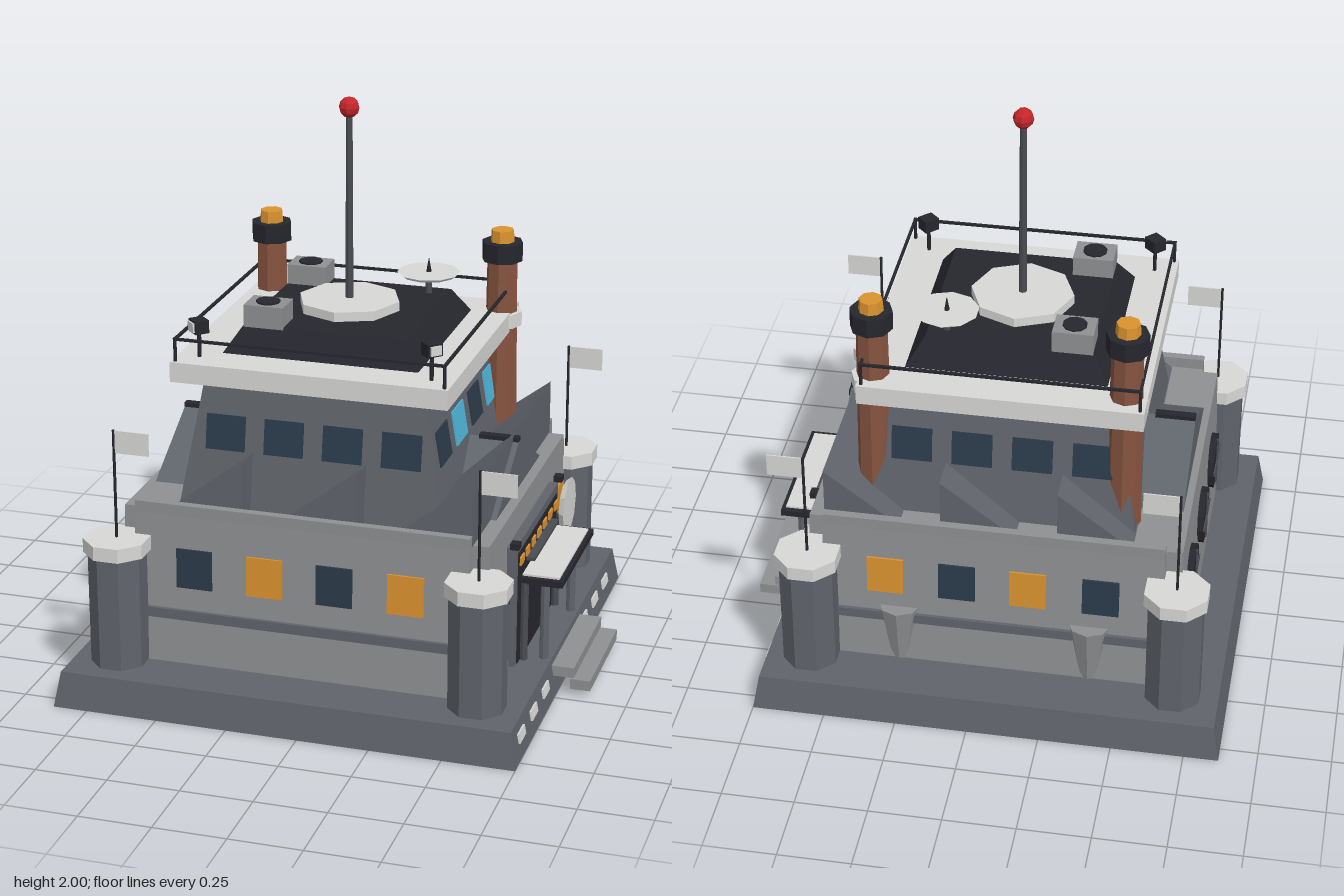
import * as THREE from 'three';

const mat = (name, color) => {
  const m = new THREE.MeshStandardMaterial({ color, flatShading: true, side: THREE.DoubleSide });
  m.name = name;
  return m;
};

export function createModel() {
  const light = mat('paleTrim', 0xd8d8d6), gray = mat('wallGray', 0x8f9092), slate = mat('slate', 0x60646b);
  const dark = mat('charcoal', 0x26262e), metal = mat('metal', 0x494c52), brick = mat('brick', 0x87543f);
  const amber = mat('amber', 0xda932f), glass = mat('darkGlass', 0x2b3b4a), cyan = mat('litGlass', 0x4fb6d8);
  const red = mat('red', 0xc4262c);
  const root = new THREE.Group();
  const CX = -0.06; // centre line of the building

  const add = (name, geo, m, x, y, z, parent = root) => {
    const mesh = new THREE.Mesh(geo, m);
    mesh.name = name;
    mesh.position.set(x, y, z);
    parent.add(mesh);
    return mesh;
  };
  // box given by its centre and size
  const box = (name, m, x, y, z, w, h, d, parent) => add(name, new THREE.BoxGeometry(w, h, d), m, x, y, z, parent);
  // upright cylinder from y0 to y1
  const cyl = (name, m, x, z, y0, y1, rBottom, rTop = rBottom, n = 8, parent = root) =>
    add(name, new THREE.CylinderGeometry(rTop, rBottom, y1 - y0, n), m, x, (y0 + y1) / 2, z, parent);
  // block whose half sizes change from bottom to top
  const frustum = (name, m, x, y0, y1, bx, bz, tx, tz) => {
    const g = new THREE.BoxGeometry(2, y1 - y0, 2), p = g.attributes.position;
    for (let i = 0; i < p.count; i++) {
      const top = p.getY(i) > 0;
      p.setX(i, p.getX(i) * (top ? tx : bx));
      p.setZ(i, p.getZ(i) * (top ? tz : bz));
    }
    g.computeVertexNormals();
    return add(name, g, m, x, (y0 + y1) / 2, 0);
  };
  // extruded outline, centred along its depth
  const prism = (name, m, pts, depth) => {
    const g = new THREE.ExtrudeGeometry(new THREE.Shape(pts.map(p => new THREE.Vector2(...p))),
      { depth, bevelEnabled: false });
    g.translate(0, 0, -depth / 2);
    return add(name, g, m, 0, 0, 0);
  };

  // base and main walls
  frustum('base', slate, CX, 0, 0.125, 0.81, 0.81, 0.788, 0.788);
  frustum('sideHall', gray, -0.055, 0.125, 0.66, 0.655, 0.55, 0.64, 0.54);
  frustum('mainHall', gray, -0.055, 0.125, 0.66, 0.6, 0.605, 0.585, 0.585);
  for (const s of [1, -1]) {
    box('parapet', gray, -0.055, 0.67, s * 0.57, 1.17, 0.06, 0.03);
    box('wallBand', slate, -0.055, 0.306, s * 0.603, 1.1, 0.035, 0.015);
    [-0.428, -0.178, 0.067, 0.315].forEach((x, i) => {
      const w = box('hallWindow', i % 2 ? amber : glass, x, 0.475, s * 0.595, 0.126, 0.14, 0.009);
      w.rotation.x = -s * 0.037;
    });
  }

  // saw-tooth roofs and the cross gable
  for (const x of [-0.54, -0.14, 0.26])
    prism('sawtoothRoof', slate, [[x, 0.65], [x + 0.27, 0.65], [x + 0.27, 0.855]], 1.1);
  const gable = prism('gableRoof', slate, [[-0.33, 0.65], [0.33, 0.65], [0, 0.835]], 1.22);
  gable.rotation.y = Math.PI / 2;
  gable.position.x = CX;
  for (const s of [1, -1]) {
    box('ridgeBar', dark, CX + s * 0.54, 0.838, 0, 0.14, 0.015, 0.03);
  }

  // corner towers with flags
  for (const x of [-0.69, 0.575]) for (const z of [-0.635, 0.635]) {
    const t = new THREE.Group();
    t.name = 'cornerTower';
    t.position.set(x, 0, z);
    root.add(t);
    cyl('towerShaft', slate, 0, 0, 0.12, 0.535, 0.1, 0.1, 8, t).rotation.y = Math.PI / 8;
    cyl('towerCap', light, 0, 0, 0.53, 0.58, 0.115, 0.115, 8, t).rotation.y = Math.PI / 8;
    cyl('flagPole', dark, 0, 0, 0.57, 0.967, 0.005, 0.005, 6, t);
    box('flag', light, 0.064, 0.925, 0, 0.12, 0.08, 0.005, t);
  }

  // upper cabin with tilted windows on each side
  frustum('cabin', slate, CX, 0.64, 1.105, 0.467, 0.467, 0.389, 0.389);
  for (let k = 0; k < 4; k++) {
    const side = new THREE.Group();
    side.name = 'cabinWindows';
    side.position.set(CX, 0.915, 0);
    side.rotation.y = k * Math.PI / 2;
    root.add(side);
    for (let i = 0; i < 4; i++) {
      const w = box('cabinWindow', k % 2 && i % 2 ? cyan : glass, -0.308 + i * 0.206, 0, 0.422, 0.138, 0.122, 0.009, side);
      w.rotation.x = -0.166;
    }
  }
  box('roofSlab', light, CX, 1.135, 0, 0.965, 0.07, 0.965);
  frustum('darkRoof', dark, CX, 1.17, 1.26, 0.343, 0.343, 0.285, 0.285);

  // roof railing
  for (const s of [1, -1]) {
    box('railing', dark, CX, 1.248, s * 0.467, 0.945, 0.009, 0.009);
    box('railing', dark, CX + s * 0.467, 1.248, 0, 0.009, 0.009, 0.945);
    for (const t of [1, -1]) cyl('railingPost', dark, CX + s * 0.467, t * 0.467, 1.165, 1.25, 0.006, 0.006, 6);
    // floodlights at the front corners
    const x = CX + s * 0.405;
    cyl('floodlightPost', dark, x, 0.4, 1.16, 1.27, 0.007, 0.007, 6);
    const lamp = new THREE.Group();
    lamp.name = 'floodlight';
    lamp.position.set(x, 1.28, 0.4);
    lamp.rotation.y = s * Math.PI / 4;
    root.add(lamp);
    box('lampBody', dark, 0, 0, 0, 0.055, 0.045, 0.05, lamp);
    box('lampLens', light, 0, 0, 0.028, 0.04, 0.032, 0.008, lamp);
    // roof fans
    box('fanBox', gray, -0.275, 1.28, s * 0.235, 0.14, 0.1, 0.11);
    cyl('fan', dark, -0.275, s * 0.235, 1.325, 1.336, 0.042, 0.042, 10);
  }

  // mast, beacon and dish
  cyl('mastPlate', light, CX, 0, 1.255, 1.293, 0.178);
  cyl('mast', metal, CX, 0, 1.29, 1.945, 0.014, 0.012);
  add('beacon', new THREE.SphereGeometry(0.036, 8, 6), red, CX, 1.964, 0);
  cyl('dishPost', metal, 0.16, -0.225, 1.25, 1.33, 0.012);
  cyl('dish', light, 0.16, -0.225, 1.325, 1.337, 0.095, 0.11, 10);
  cyl('dishSpike', dark, 0.16, -0.225, 1.335, 1.385, 0.01, 0.001, 6);

  // chimneys
  for (const x of [-0.472, 0.382]) {
    cyl('chimney', brick, x, -0.39, 0.65, 1.36, 0.062, 0.054);
    cyl('chimneyCollar', light, x, -0.39, 1.115, 1.165, 0.074);
    cyl('chimneyCap', dark, x, -0.39, 1.352, 1.42, 0.073);
    cyl('chimneyGlow', amber, x, -0.39, 1.41, 1.462, 0.044, 0.04);
  }

  // entrance portal, lights, canopy and steps
  box('portalFrame', slate, 0.6, 0.345, 0, 0.04, 0.44, 0.62);
  box('portalRecess', dark, 0.62, 0.33, 0, 0.008, 0.41, 0.56);
  box('door', glass, 0.624, 0.265, 0, 0.004, 0.28, 0.33).material = dark;
  for (let i = -3; i <= 3; i++) box('portalLight', amber, 0.626, 0.502, i * 0.083, 0.009, 0.03, 0.045);
  box('portalBar', metal, 0.64, 0.475, 0, 0.03, 0.012, 0.36);
  box('canopy', dark, 0.69, 0.42, 0, 0.155, 0.022, 0.49);
  box('canopyTop', light, 0.685, 0.434, 0, 0.135, 0.008, 0.45);
  for (const s of [1, -1]) {
    cyl('canopyColumn', slate, 0.7, s * 0.205, 0.12, 0.412, 0.016);
    cyl('portalColumn', metal, 0.635, s * 0.235, 0.12, 0.412, 0.014);
    box('portalLamp', dark, 0.62, 0.58, s * 0.318, 0.03, 0.022, 0.035);
    box('sideWindow', amber, 0.592, 0.45, s * 0.44, 0.009, 0.105, 0.14);
    box('sideSill', dark, 0.598, 0.388, s * 0.44, 0.03, 0.014, 0.16);
  }
  const disc = add('wallDish', new THREE.CylinderGeometry(0.105, 0.09, 0.02, 10), light, 0.622, 0.42, -0.455);
  disc.rotation.z = -Math.PI / 2;
  box('upperStep', gray, 0.765, 0.087, 0, 0.09, 0.037, 0.44);
  box('lowerStep', gray, 0.833, 0.045, 0, 0.07, 0.037, 0.44);
  for (const z of [0.685, 0.514, 0.343, -0.26, -0.43, -0.6])
    box('baseLight', light, 0.738, 0.073, z, 0.012, 0.034, 0.08).rotation.z = 0.17;

  // round vents on the side wall
  for (const z of [-0.33, 0, 0.33]) {
    const vent = new THREE.Group();
    vent.name = 'roundVent';
    vent.position.set(-0.71, 0.42, z);
    root.add(vent);
    add('ventDisc', new THREE.CylinderGeometry(0.1, 0.1, 0.025, 12), dark, 0, 0, 0, vent).rotation.z = Math.PI / 2;
    box('ventBar', metal, -0.014, 0, 0, 0.008, 0.19, 0.012, vent);
    box('ventBar', metal, -0.014, 0, 0, 0.008, 0.012, 0.19, vent);
  }

  // tapered buttresses on the back wall
  for (const x of [-0.39, 0.27]) cyl('backButtress', light, x, -0.575, 0.12, 0.345, 0.035, 0.075).material = gray;

  return root;
}
